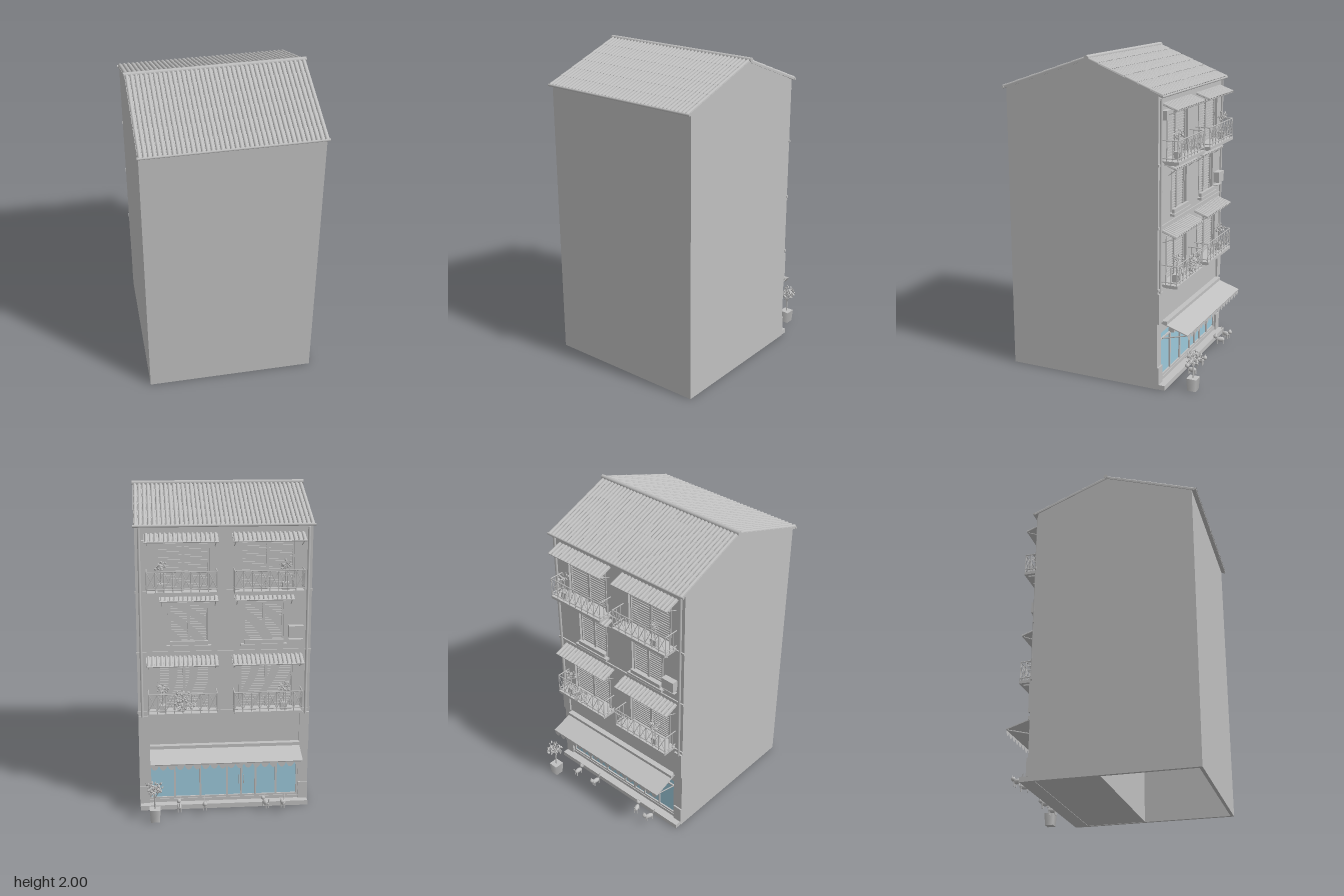
import * as THREE from 'three';
import { mergeGeometries } from 'three/addons/utils/BufferGeometryUtils.js';

const plaster = new THREE.MeshStandardMaterial({ color: 0xc0c0c0, side: THREE.DoubleSide });
plaster.name = 'grey plaster';
const glass = new THREE.MeshStandardMaterial({ color: 0x9cc8da, side: THREE.DoubleSide });
glass.name = 'blue glass';

const WALL = -0.385; // outer plane of the decorated wall
let seed = 7;
const rnd = () => (seed = (seed * 16807) % 2147483647) / 2147483647;

// Box given by its limits on each axis
function box(x0, x1, y0, y1, z0, z1) {
  return new THREE.BoxGeometry(x1 - x0, y1 - y0, z1 - z0)
    .translate((x0 + x1) / 2, (y0 + y1) / 2, (z0 + z1) / 2);
}

// Thin round bar between two points
function bar(a, b, r = 0.003, sides = 5) {
  const p = new THREE.Vector3(...a), q = new THREE.Vector3(...b);
  const d = q.clone().sub(p);
  const g = new THREE.CylinderGeometry(r, r, d.length(), sides);
  g.applyQuaternion(new THREE.Quaternion().setFromUnitVectors(new THREE.Vector3(0, 1, 0), d.normalize()));
  return g.translate(...p.add(q).multiplyScalar(0.5).toArray());
}

function ball(r, sx, sy, sz, x, y, z) {
  return new THREE.SphereGeometry(r, 10, 7).scale(sx, sy, sz).translate(x, y, z);
}

function add(parent, name, geos, mat = plaster) {
  const list = (Array.isArray(geos) ? geos : [geos]).map(g => (g.index ? g.toNonIndexed() : g));
  const mesh = new THREE.Mesh(mergeGeometries(list), mat);
  mesh.name = name;
  parent.add(mesh);
  return mesh;
}

// Tiled sheet running down +z from the origin: a board with rows of half-round tiles
function tiles(width, length, columns, rows, r, board) {
  const out = [box(-width / 2, width / 2, -board, 0, 0, length)];
  const h = length / rows;
  for (let i = 0; i < columns; i++) {
    const x = -width / 2 + (i + 0.5) * width / columns;
    for (let j = 0; j < rows; j++) {
      out.push(new THREE.CylinderGeometry(r * 0.82, r, h, 5, 1, true, -Math.PI / 2, Math.PI)
        .rotateX(-Math.PI / 2).translate(x, 0, (j + 0.5) * h));
    }
  }
  return mergeGeometries(out);
}

// Loose crown of small leaves
function leaves(count, rx, ry, rz, x, y, z, size = 0.011) {
  const out = [];
  for (let i = 0; i < count; i++) {
    const a = rnd() * Math.PI * 2, c = rnd() * 2 - 1, s = Math.sqrt(1 - c * c), k = 0.35 + 0.65 * rnd();
    out.push(new THREE.OctahedronGeometry(size * (0.7 + 0.6 * rnd())).scale(1, 0.45, 0.8)
      .rotateX(rnd() * 3).rotateZ(rnd() * 3)
      .translate(x + rx * k * s * Math.cos(a), y + ry * k * c, z + rz * k * s * Math.sin(a)));
  }
  return out;
}

function rectHole(shape, x0, x1, y0, y1) {
  const h = new THREE.Path();
  h.moveTo(x0, y0); h.lineTo(x0, y1); h.lineTo(x1, y1); h.lineTo(x1, y0); h.closePath();
  shape.holes.push(h);
}

// Louvred pair of shutters with a surround
function shutters(parent, x0, x1, y0, y1) {
  const g = [box(x0, x1, y0, y1, -0.362, -0.352)], m = (x0 + x1) / 2;
  for (const x of [x0, m, x1]) g.push(box(x - 0.008, x + 0.008, y0, y1, -0.374, -0.36));
  for (let y = y0 + 0.01; y < y1; y += 0.016) g.push(box(x0, x1, y, y + 0.007, -0.368, -0.36));
  for (const x of [x0 - 0.01, x1]) g.push(box(x, x + 0.01, y0, y1, WALL - 0.005, WALL));
  g.push(box(x0 - 0.01, x1 + 0.01, y1, y1 + 0.01, WALL - 0.005, WALL));
  add(parent, 'louvredShutters', g);
}

// Tiled canopy with slanting side brackets
function canopy(parent, x0, x1, y, depth, drop) {
  const a = Math.atan2(drop, depth), n = Math.round((x1 - x0) / 0.027);
  add(parent, 'tiledCanopy', tiles(x1 - x0, Math.hypot(depth, drop), n, 1, 0.011, 0.005)
    .rotateX(a).rotateY(Math.PI).translate((x0 + x1) / 2, y, WALL));
  add(parent, 'canopyBrackets', [x0 + 0.015, x1 - 0.015].map(x =>
    bar([x, y - drop - 0.04, WALL], [x, y - drop - 0.004, WALL - depth + 0.01])));
}

function balcony(parent, x0, x1, y, plantX) {
  const g = new THREE.Group();
  g.name = 'balcony';
  parent.add(g);
  const zf = -0.48, top = y + 0.14, low = y + 0.035;
  add(g, 'balconyFloor', [box(x0, x1, y, y + 0.018, zf - 0.006, WALL), box(x0 + 0.02, x1 - 0.02, y - 0.01, y, zf + 0.015, WALL)]);
  const rail = [];
  for (const h of [top, low]) {
    rail.push(bar([x0, h, zf], [x1, h, zf], 0.004));
    for (const x of [x0, x1]) rail.push(bar([x, h, WALL], [x, h, zf], 0.004));
  }
  const n = 8, w = (x1 - x0) / n;
  for (let i = 0; i <= n; i++) {
    const x = x0 + i * w;
    rail.push(bar([x, y + 0.015, zf], [x, top, zf]));
    if (i < n) rail.push(bar([x, low, zf], [x + w, top, zf], 0.002), bar([x, top, zf], [x + w, low, zf], 0.002));
  }
  for (const x of [x0, x1]) for (const z of [-0.41, -0.445]) rail.push(bar([x, y + 0.015, z], [x, top, z]));
  add(g, 'balconyRailing', rail);
  // potted shrub
  add(g, 'shrubPot', [box(plantX - 0.02, plantX + 0.02, y + 0.018, y + 0.065, -0.465, -0.425),
    bar([plantX, y + 0.06, -0.445], [plantX, y + 0.16, -0.45], 0.004)]);
  add(g, 'shrubLeaves', leaves(36, 0.04, 0.035, 0.035, plantX, y + 0.165, -0.45, 0.009));
}

function pet(parent, x, z, dir) {
  const s = 0.03;
  const g = [ball(0.02, 0.75, 0.8, 1.5, 0, s + 0.03, 0), ball(0.014, 1, 1, 1, 0, s + 0.05, 0.034),
    bar([0, s + 0.035, -0.025], [0, s + 0.07, -0.042], 0.003)];
  for (const sx of [-1, 1]) {
    g.push(new THREE.ConeGeometry(0.005, 0.012, 4).translate(sx * 0.008, s + 0.066, 0.034));
    for (const pz of [-0.02, 0.02]) g.push(bar([sx * 0.009, s, pz], [sx * 0.009, s + 0.03, pz], 0.004));
  }
  const mesh = add(parent, 'smallAnimal', g);
  mesh.position.set(x, 0, z);
  mesh.rotation.y = dir;
}

export function createModel() {
  const model = new THREE.Group();
  model.name = 'apartmentHouse';

  // Shell: gabled sides, plain wall, open underside
  const gable = new THREE.Shape([[WALL, 0], [0.62, 0], [0.62, 1.785], [0.075, 1.975], [WALL, 1.785]]
    .map(p => new THREE.Vector2(...p)));
  for (const x of [0.53, -0.51]) {
    add(model, 'gableWall', new THREE.ExtrudeGeometry(gable, { depth: 0.02, bevelEnabled: false })
      .rotateY(-Math.PI / 2).translate(x, 0, 0));
  }
  add(model, 'plainWall', box(-0.53, 0.53, 0, 1.785, 0.6, 0.62));

  // Street wall with openings
  const doors = [], windows = [[0.1, 0.33], [-0.36, -0.12]];
  for (const y of [0.65, 1.4]) doors.push([0.09, 0.4, y, y + 0.28], [-0.42, -0.1, y, y + 0.28]);
  const street = new THREE.Shape([[-0.51, 0], [0.51, 0], [0.51, 1.785], [-0.51, 1.785]].map(p => new THREE.Vector2(...p)));
  rectHole(street, -0.47, 0.47, 0.05, 0.35);
  for (const d of doors) { rectHole(street, ...d); shutters(model, ...d); }
  for (const [a, b] of windows) {
    rectHole(street, a, b, 1.07, 1.31);
    shutters(model, a, b, 1.07, 1.31);
    canopy(model, a - 0.06, b + 0.06, 1.36, 0.055, 0.02);
    // sill with a low planter rail
    add(model, 'windowSill', [box(a - 0.02, b + 0.02, 1.045, 1.06, WALL - 0.03, WALL),
      box(a, b, 1.06, 1.085, WALL - 0.022, WALL - 0.004)]);
  }
  add(model, 'streetWall', new THREE.ExtrudeGeometry(street, { depth: 0.04, bevelEnabled: false }).translate(0, 0, WALL));

  // Floor bands, corner blocks, plinth and drainpipes
  for (const y of [0.625, 1.005, 1.38]) add(model, 'floorBand', box(-0.534, 0.534, y, y + 0.014, WALL - 0.008, WALL + 0.005));
  for (const s of [-1, 1]) {
    const x = s * 0.5;
    add(model, 'cornerBlock', box(x - 0.03, x + 0.03, 0.42, 0.61, WALL - 0.012, WALL + 0.005));
    add(model, 'cornerPlinth', box(x - 0.03, x + 0.03, 0.03, 0.14, WALL - 0.01, WALL));
    add(model, 'drainpipe', bar([s * 0.505, 0.6, WALL - 0.008], [s * 0.505, 1.77, WALL - 0.008], 0.008, 8));
  }

  // Balconies with canopies
  for (const y of [0.635, 1.385]) {
    balcony(model, 0.05, 0.465, y, 0.38);
    balcony(model, -0.47, -0.055, y, -0.36);
    canopy(model, 0.04, 0.475, y + 0.35, 0.095, 0.035);
    canopy(model, -0.48, -0.045, y + 0.35, 0.095, 0.035);
  }
  add(model, 'hangingVine', leaves(70, 0.085, 0.08, 0.014, 0.25, 0.74, -0.5, 0.01));

  // Wall units
  add(model, 'airUnit', [box(-0.48, -0.39, 1.1, 1.17, -0.425, WALL), box(-0.48, -0.39, 1.08, 1.085, -0.415, WALL)]);
  add(model, 'airUnit', box(0.42, 0.49, 1.645, 1.7, -0.42, WALL));
  add(model, 'wallBox', box(0.27, 0.33, 0.3, 0.35, -0.41, WALL));

  // Shop front
  add(model, 'shopGlass', box(-0.47, 0.47, 0.05, 0.35, -0.37, -0.363), glass);
  const frame = [box(-0.47, 0.47, 0.29, 0.3, -0.38, -0.36), box(-0.47, 0.47, 0.05, 0.062, -0.38, -0.36),
    box(-0.47, 0.47, 0.34, 0.35, -0.38, -0.36)];
  for (const x of [0.464, 0.31, 0.15, -0.02, -0.11, -0.2, -0.33, -0.464]) frame.push(box(x - 0.006, x + 0.006, 0.05, 0.35, -0.38, -0.36));
  for (const x of [-0.095, -0.125]) frame.push(bar([x, 0.14, -0.386], [x, 0.2, -0.386]));
  add(model, 'shopFrame', frame);
  add(model, 'shopFloor', [box(-0.51, 0.51, 0.002, 0.03, WALL, 0.04), box(-0.527, 0.527, 0, 0.03, -0.435, WALL)]);
  add(model, 'shopRoom', [box(-0.51, 0.51, 0.03, 0.42, 0.03, 0.04), box(-0.51, 0.51, 0.41, 0.42, -0.345, 0.04)]);

  // Shop awning with scalloped edge and folding arms
  const depth = 0.17, drop = 0.055;
  add(model, 'awning', box(-0.47, 0.463, -0.003, 0.003, 0, Math.hypot(depth, drop))
    .rotateX(Math.atan2(drop, depth)).rotateY(Math.PI).translate(-0.007, 0.405, WALL));
  add(model, 'awningCase', box(-0.47, 0.463, 0.4, 0.42, WALL - 0.035, WALL));
  const edge = new THREE.Shape(), count = 18, w = 0.933 / count;
  edge.moveTo(-0.47, 0);
  for (let i = 0; i < count; i++) edge.quadraticCurveTo(-0.47 + (i + 0.5) * w, -0.065, -0.47 + (i + 1) * w, -0.008);
  edge.lineTo(0.463, 0);
  add(model, 'awningScallops', new THREE.ShapeGeometry(edge, 5).translate(0, 0.352, -0.554));
  add(model, 'awningArms', [-0.46, 0.453].map(x => bar([x, 0.305, WALL], [x, 0.348, -0.55], 0.004)));

  // Roof
  for (const [run, turn] of [[0.57, 0], [0.49, Math.PI]]) {
    add(model, 'tiledRoof', tiles(1.07, Math.hypot(run, 0.195), 40, 6, 0.012, 0.012)
      .rotateX(Math.atan2(0.195, run)).rotateY(turn).translate(0, 1.983, 0.075));
    const z = 0.075 + (turn ? -1 : 1) * (run - 0.004);
    add(model, 'eavesGutter', bar([-0.54, 1.785, z], [0.54, 1.785, z], 0.008, 8));
  }
  add(model, 'roofRidge', bar([-0.54, 1.986, 0.068], [0.54, 1.986, 0.068], 0.014, 8));

  // Tree in a tub by the shop
  add(model, 'treeTub', new THREE.CylinderGeometry(0.046, 0.038, 0.08, 4).rotateY(Math.PI / 4).translate(0.44, 0.04, -0.585));
  add(model, 'treeTrunk', [bar([0.44, 0.07, -0.585], [0.44, 0.2, -0.585], 0.005),
    bar([0.44, 0.15, -0.585], [0.47, 0.21, -0.57]), bar([0.44, 0.15, -0.585], [0.41, 0.21, -0.61])]);
  add(model, 'treeLeaves', leaves(90, 0.058, 0.042, 0.056, 0.44, 0.215, -0.585, 0.011));

  // Small animals on the pavement
  [[0.29, -0.52, 0], [0.13, -0.51, 3.1], [-0.25, -0.51, 0.4], [-0.36, -0.51, 2.8]].forEach(p => pet(model, ...p));

  return model;
}
